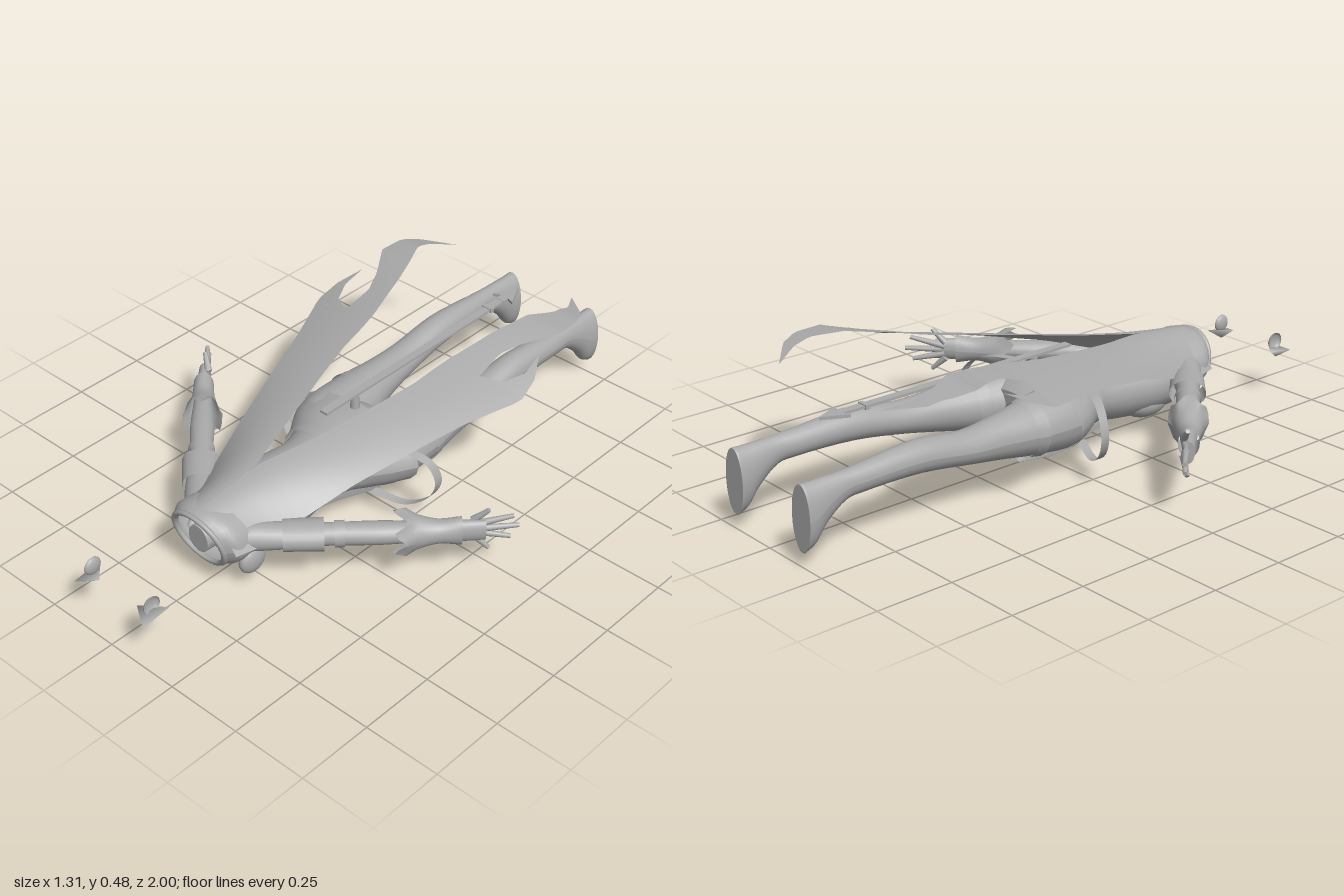
import * as THREE from 'three';

const grey = new THREE.MeshStandardMaterial({ color: 0xaaaaaa, side: THREE.DoubleSide });
grey.name = 'grey';

// grid of points -> indexed surface
function surface(rows) {
  const n = rows[0].length, pos = rows.flat(2), idx = [];
  for (let i = 0; i < rows.length - 1; i++) for (let j = 0; j < n - 1; j++) {
    const a = i * n + j, b = a + 1, c = a + n, d = c + 1;
    idx.push(a, b, c, b, d, c);
  }
  const g = new THREE.BufferGeometry();
  g.setAttribute('position', new THREE.Float32BufferAttribute(pos, 3));
  g.setIndex(idx);
  g.computeVertexNormals();
  return g;
}

// elliptical sections [z, x, y, rx, ry] in rising z, smoothed by a spline
function loft(sections, { closed = true, steps = 4, sides = 24 } = {}) {
  const curve = k => new THREE.CatmullRomCurve3(sections.map(s => new THREE.Vector3(s[0], s[k], s[k + 1])));
  const centre = curve(1), radius = curve(3), count = (sections.length - 1) * steps;
  const rows = [];
  const ring = (t, scale) => {
    const c = centre.getPoint(t), r = radius.getPoint(t), row = [];
    for (let j = 0; j <= sides; j++) {
      const a = (j / sides) * Math.PI * 2;
      row.push([c.y + Math.cos(a) * r.y * scale, c.z + Math.sin(a) * r.z * scale, c.x]);
    }
    rows.push(row);
  };
  if (closed) { ring(0, 0); ring(0, 0.97); }
  for (let i = 0; i <= count; i++) ring(i / count, 1);
  if (closed) { ring(1, 0.97); ring(1, 0); }
  return surface(rows);
}

// move vertices by a rule (x, y, z) -> new z
function shiftZ(g, rule) {
  const p = g.attributes.position;
  for (let i = 0; i < p.count; i++) p.setZ(i, rule(p.getX(i), p.getY(i), p.getZ(i)));
  g.computeVertexNormals();
  return g;
}

// tapered rod between two points
function rod(a, b, r0, r1, sides = 10) {
  const p = new THREE.Vector3(...a), q = new THREE.Vector3(...b), d = q.clone().sub(p);
  const g = new THREE.CylinderGeometry(r1, r0, d.length(), sides);
  g.applyQuaternion(new THREE.Quaternion().setFromUnitVectors(new THREE.Vector3(0, 1, 0), d.normalize()));
  return g.translate(...p.add(q).multiplyScalar(0.5).toArray());
}

function mirrored(g) {
  const m = g.clone().scale(-1, 1, 1), ix = m.index.array;
  for (let i = 0; i < ix.length; i += 3) [ix[i], ix[i + 1]] = [ix[i + 1], ix[i]];
  return m;
}

// value at z from a table of [z, ...values] in falling z
function sample(table, z, k) {
  for (let i = 0; i < table.length - 1; i++) {
    const a = table[i], b = table[i + 1];
    if (z >= b[0]) return THREE.MathUtils.lerp(a[k], b[k], THREE.MathUtils.clamp((z - a[0]) / (b[0] - a[0]), 0, 1));
  }
  return table.at(-1)[k];
}

// cape: ridge height, drop at the rim, half width
const drape = [
  [0.63, 0.28, 0.11, 0.135], [0.52, 0.292, 0.125, 0.16], [0.41, 0.305, 0.1, 0.185], [0.24, 0.33, 0.07, 0.235],
  [0, 0.375, 0.06, 0.31], [-0.3, 0.435, 0.07, 0.415], [-0.42, 0.465, 0.06, 0.42], [-0.55, 0.485, 0.03, 0.42],
  [-0.65, 0.475, 0.02, 0.42], [-0.78, 0.435, 0.02, 0.42]];

// cape panel from rows [z, inner x, outer x] in falling z
function capePanel(table) {
  const rows = [], z0 = table[0][0], z1 = table.at(-1)[0], n = 24;
  for (let i = 0; i <= n; i++) {
    const z = z0 + (z1 - z0) * i / n, row = [];
    for (let j = 0; j <= 12; j++) {
      const x = THREE.MathUtils.lerp(sample(table, z, 1), sample(table, z, 2), j / 12);
      row.push([x, sample(drape, z, 1) - sample(drape, z, 2) * (x / sample(drape, z, 3)) ** 2, z]);
    }
    rows.push(row);
  }
  return surface(rows);
}

export function createModel() {
  const model = new THREE.Group();
  const add = (name, g) => {
    const m = new THREE.Mesh(g, grey);
    m.name = name;
    model.add(m);
  };
  const pair = (name, g) => { add(name + 'Left', g); add(name + 'Right', mirrored(g)); };

  // torso, collar and neck
  add('torso', loft([
    [-0.11, 0, 0.18, 0.14, 0.06], [-0.05, 0, 0.18, 0.185, 0.095], [0.05, 0, 0.175, 0.17, 0.1],
    [0.18, 0, 0.165, 0.118, 0.095], [0.28, 0, 0.16, 0.125, 0.105], [0.42, 0, 0.16, 0.148, 0.112],
    [0.52, 0, 0.168, 0.14, 0.105], [0.58, 0, 0.175, 0.1, 0.075]]));
  pair('chest', new THREE.SphereGeometry(0.062, 20, 14).scale(1, 0.85, 1.4).translate(0.065, 0.103, 0.39));
  pair('shoulderPad', new THREE.SphereGeometry(0.05, 16, 12).scale(0.5, 0.95, 1).translate(0.112, 0.1, 0.545));
  const tilt = g => shiftZ(g, (x, y, z) => z + (y - 0.175) * 0.25);
  add('collar', tilt(loft([[0.55, 0, 0.175, 0.135, 0.1], [0.61, 0, 0.175, 0.132, 0.103], [0.65, 0, 0.175, 0.1, 0.09]], { closed: false })));
  add('collarRim', tilt(new THREE.TorusGeometry(0.1, 0.01, 8, 32).scale(1, 0.9, 1).translate(0, 0.175, 0.645)));
  add('neck', loft([[0.54, 0, 0.175, 0.06, 0.06], [0.6, 0, 0.175, 0.043, 0.048], [0.65, 0, 0.175, 0.04, 0.045]]));
  add('belt', loft([[0.1, 0, 0.172, 0.158, 0.103], [0.15, 0, 0.17, 0.14, 0.1]], { closed: false }));
  add('hipSkirt', loft([[-0.04, 0, 0.17, 0.245, 0.12], [0.04, 0, 0.172, 0.205, 0.114], [0.12, 0, 0.172, 0.15, 0.101]], { closed: false }));

  // legs with long boots
  pair('leg', loft([
    [-1, 0.165, 0.148, 0.044, 0.103], [-0.97, 0.165, 0.155, 0.043, 0.095], [-0.93, 0.165, 0.18, 0.038, 0.07],
    [-0.86, 0.166, 0.207, 0.032, 0.044], [-0.8, 0.165, 0.212, 0.036, 0.042], [-0.6, 0.16, 0.217, 0.049, 0.05],
    [-0.42, 0.155, 0.193, 0.056, 0.052], [-0.3, 0.145, 0.185, 0.066, 0.066], [-0.15, 0.13, 0.177, 0.094, 0.086],
    [0, 0.108, 0.172, 0.106, 0.1], [0.06, 0.1, 0.17, 0.08, 0.08]]));
  pair('thighBand', loft([[-0.19, 0.133, 0.178, 0.09, 0.085], [-0.15, 0.13, 0.177, 0.099, 0.092]], { closed: false }));

  // front cloth, folded along the middle
  const cloth = [];
  for (const [z, y, w] of [[0.26, 0.05, 0.06], [0.15, 0.045, 0.1], [0.03, 0.024, 0.14], [-0.04, 0.01, 0.12], [-0.08, 0, 0.01]]) {
    const row = [];
    for (let j = 6; j >= -6; j--) row.push([w * j / 6, y + 0.04 * Math.abs(j / 6) ** 1.5 * (w / 0.12), z]);
    cloth.push(row);
  }
  add('frontCloth', surface(cloth));

  // flat ribbons looping out from the hips
  const hoop = new THREE.CatmullRomCurve3([[0.16, 0.265, 0.05], [0.25, 0.26, 0.01], [0.31, 0.225, -0.02], [0.333, 0.165, -0.03],
    [0.31, 0.105, -0.02], [0.24, 0.062, 0.01], [0.14, 0.08, 0.05]].map(p => new THREE.Vector3(...p)));
  pair('hipRibbon', surface(hoop.getPoints(32).map(p => [[p.x, p.y, p.z - 0.016], [p.x, p.y, p.z + 0.016]])));

  // arms, built along z and swung out
  const swing = g => g.rotateY(Math.PI * 0.75).translate(0.13, 0.18, 0.52);
  pair('arm', swing(loft([
    [-0.04, 0, 0, 0.045, 0.045], [0.05, 0, 0, 0.045, 0.04], [0.15, 0, 0, 0.036, 0.034], [0.24, 0, 0, 0.036, 0.034],
    [0.35, 0, 0, 0.038, 0.034], [0.5, 0, 0, 0.028, 0.03], [0.58, 0, 0, 0.022, 0.036], [0.65, 0, 0, 0.017, 0.034]])));
  pair('armCuff', swing(loft([[0.06, 0, 0, 0.054, 0.044], [0.18, 0, 0, 0.058, 0.044]], { closed: false })));
  pair('elbowBand', swing(loft([[0.21, 0, 0, 0.041, 0.039], [0.24, 0, 0, 0.041, 0.039]], { closed: false })));

  // gauntlet with a scalloped flare
  const flare = loft([[0.4, 0, 0, 0.062, 0.076], [0.45, 0, 0, 0.048, 0.054], [0.51, 0, 0, 0.036, 0.038], [0.58, 0, 0, 0.032, 0.047]], { closed: false });
  pair('gauntlet', swing(shiftZ(flare, (x, y, z) =>
    z + Math.max(0, (0.45 - z) / 0.05) * 0.02 * Math.cos(6 * Math.atan2(y, x)))));

  // fingers spread as a fan
  const tips = [[0.592, 0.25, 0.05], [0.64, 0.222, -0.005], [0.65, 0.184, -0.02], [0.635, 0.146, 0], [0.595, 0.11, 0.05]];
  tips.forEach((tip, i) =>
    pair('finger' + (i + 1), rod([0.565 - Math.abs(i - 2) * 0.006, 0.206 - i * 0.013, 0.075], tip, 0.012, 0.007)));

  // split cape with two pointed tails on each side
  pair('cape', capePanel([[0.63, 0, 0.135], [0.52, 0, 0.16], [0.41, 0, 0.185], [0.24, 0.05, 0.235], [0, 0.115, 0.31],
    [-0.13, 0.145, 0.35], [-0.22, 0.155, 0.385], [-0.28, 0.165, 0.41]]));
  pair('capeOuterTail', capePanel([[-0.28, 0.275, 0.41], [-0.31, 0.34, 0.418], [-0.38, 0.372, 0.407], [-0.45, 0.365, 0.367]]));
  pair('capeInnerTail', capePanel([[-0.28, 0.165, 0.275], [-0.38, 0.19, 0.27], [-0.45, 0.207, 0.3], [-0.55, 0.24, 0.365],
    [-0.63, 0.283, 0.365], [-0.7, 0.285, 0.34], [-0.78, 0.24, 0.243]]));

  // arrow-tipped rod over the back
  add('rodShaft', new THREE.BoxGeometry(0.028, 0.008, 0.85).translate(0, 0.34, -0.305));
  add('rodBand', new THREE.BoxGeometry(0.038, 0.014, 0.015).translate(0, 0.34, -0.66));
  const head = new THREE.Shape([[0, 0.815], [-0.04, 0.735], [-0.015, 0.745], [-0.015, 0.72], [0.015, 0.72], [0.015, 0.745], [0.04, 0.735]]
    .map(p => new THREE.Vector2(...p)));
  add('rodTip', new THREE.ExtrudeGeometry(head, { depth: 0.01, bevelEnabled: false }).rotateX(-Math.PI / 2).translate(0, 0.335, 0));
  add('rodMount', rod([0, 0.26, -0.02], [0, 0.34, -0.02], 0.018, 0.012));

  // loose ornaments ahead of the collar: a pointed plate with an upright cup
  const plate = new THREE.BufferGeometry();
  plate.setAttribute('position', new THREE.Float32BufferAttribute(
    [0.145, 0.165, 0.9, 0.078, 0.17, 0.96, 0.145, 0.15, 1, 0.125, 0.132, 0.95], 3));
  plate.setIndex([0, 1, 2, 0, 3, 1, 1, 3, 2, 2, 3, 0]);
  plate.computeVertexNormals();
  pair('ornamentPlate', plate);
  pair('ornamentCup', new THREE.SphereGeometry(0.03, 16, 8, 0, Math.PI * 2, 0, Math.PI / 2)
    .scale(1, 0.5, 1).rotateZ(Math.PI / 2).translate(0.125, 0.187, 0.945));

  return model;
}
